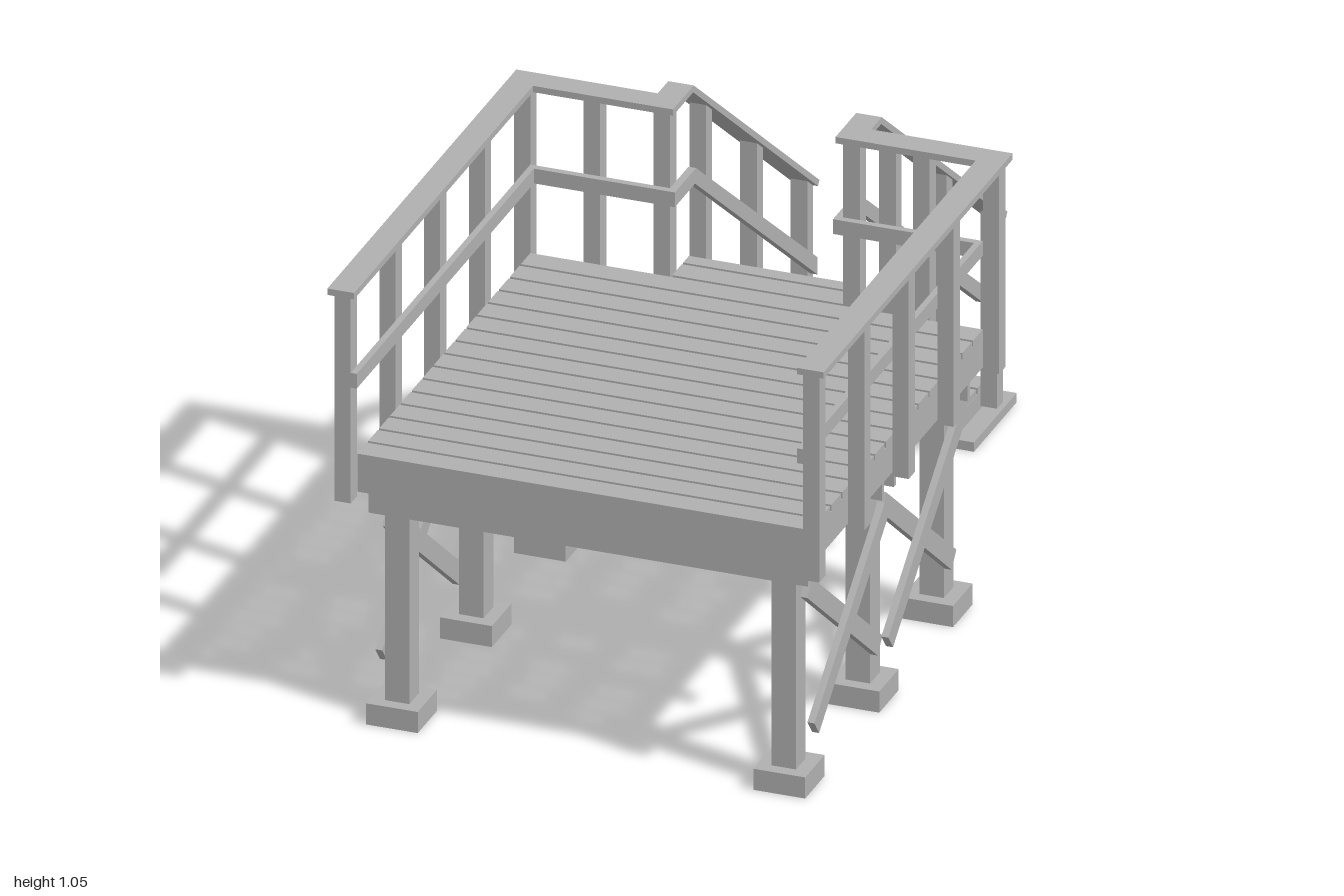
import * as THREE from 'three';

const timber = new THREE.MeshStandardMaterial({ color: 0xb0b0b0 });
timber.name = 'timberGrey';

export function createModel() {
  const model = new THREE.Group();
  model.name = 'raisedDeck';

  function add(name, geometry) {
    const mesh = new THREE.Mesh(geometry, timber);
    mesh.name = name;
    model.add(mesh);
    return mesh;
  }
  // Box given by its limits; x limits may come in either order
  function box(name, xa, xb, y0, y1, z0, z1) {
    const m = add(name, new THREE.BoxGeometry(Math.abs(xb - xa), y1 - y0, z1 - z0));
    m.position.set((xa + xb) / 2, (y0 + y1) / 2, (z0 + z1) / 2);
    return m;
  }
  // Side outline of [distance towards the back, height] points, spanning xa to xb
  function sideProfile(name, points, xa, xb) {
    const shape = new THREE.Shape(points.map(([u, y]) => new THREE.Vector2(u, y)));
    const m = add(name, new THREE.ExtrudeGeometry(shape, { depth: Math.abs(xb - xa), bevelEnabled: false }));
    m.rotation.y = Math.PI / 2;
    m.position.x = Math.min(xa, xb);
  }

  // Deck boards: sixteen wide ones, then the narrow landing
  const front = 0.952, pitch = 0.065, gap = 0.008, landingEnd = -0.188;
  for (let i = 0; i < 18; i++) {
    const z1 = front - i * pitch;
    const z0 = Math.max(z1 - pitch + gap, landingEnd);
    const w = i < 16 ? 0.515 : 0.195;
    box('deckBoard', -w, w, 0.63, 0.645, z0, z1);
  }

  // Rim and joists
  box('frontRim', -0.515, 0.515, 0.555, 0.63, 0.936, front);
  box('backRim', -0.515, 0.515, 0.555, 0.63, -0.08, -0.064);
  for (let i = -3; i <= 3; i++) {
    const x = i * 0.169;
    box('joist', x - 0.008, x + 0.008, 0.555, 0.63, -0.064, 0.936);
  }

  // Paired beams, legs and footings
  const legZ = [0.882, 0.44, 0];
  for (const z of legZ) {
    for (const s of [-1, 1]) {
      box('beam', -0.5, 0.5, 0.495, 0.555, z + s * 0.0355 - 0.0065, z + s * 0.0355 + 0.0065);
      box('leg', s * 0.412, s * 0.468, 0.05, 0.555, z - 0.029, z + 0.029);
      box('footing', s * 0.382, s * 0.5, 0, 0.05, z - 0.058, z + 0.058);
    }
  }

  // Crossed braces, in two layers outside the legs
  for (const s of [-1, 1]) {
    for (let i = 0; i < 2; i++) {
      for (const tilt of [-1, 1]) {
        const dy = 0.33, dz = 0.42;
        const brace = box('crossBrace', -0.008, 0.008, -0.0225, 0.0225, -Math.hypot(dy, dz) / 2, Math.hypot(dy, dz) / 2);
        brace.position.set(s * (tilt < 0 ? 0.476 : 0.492), 0.3, (legZ[i] + legZ[i + 1]) / 2);
        brace.rotation.x = tilt * Math.atan2(dy, dz);
      }
    }
  }

  // Guard rails around the deck
  for (const s of [-1, 1]) {
    for (const z of [0.973, 0.705, 0.44, 0.172, -0.099]) {
      box('sidePost', s * 0.515, s * 0.552, 0.545, 1.035, z - 0.0185, z + 0.0185);
    }
    for (const x of [0.375, 0.216]) {
      box('backPost', s * (x - 0.019), s * (x + 0.019), 0.545, 1.035, -0.118, -0.08);
    }
    box('sideCapRail', s * 0.504, s * 0.565, 1.035, 1.05, -0.127, 1.0);
    box('backCapRail', s * 0.243, s * 0.504, 1.035, 1.05, -0.127, -0.066);
    box('sideMidRail', s * 0.501, s * 0.515, 0.82, 0.855, -0.08, 0.992);
    box('backMidRail', s * 0.18, s * 0.501, 0.82, 0.855, -0.08, -0.064);
  }

  // Stair stringers: sawtooth top, straight sloping underside
  const rise = 0.081, run = 0.108, steps = 7;
  const riser = (i) => 0.175 + run * i;
  const seat = (i) => 0.63 - rise * i;
  const outline = [[0.79, 0.022], [0.09, 0.552], [0.09, 0.63], [riser(0), 0.63]];
  for (let i = 1; i <= steps; i++) outline.push([riser(i - 1), seat(i)], [riser(i), seat(i)]);
  outline.push([riser(steps), 0.022]);
  for (const x of [-0.188, 0, 0.188]) sideProfile('stringer', outline, x - 0.008, x + 0.008);
  for (const x of [-0.193, 0, 0.193]) box('stairPad', x - 0.048, x + 0.048, 0, 0.022, -1.0, -0.745);

  // Two boards for every tread
  for (let i = 1; i <= steps; i++) {
    for (const start of [riser(i - 1), riser(i - 1) + 0.063]) {
      box('treadBoard', -0.195, 0.195, seat(i), seat(i) + 0.015, -start - 0.055, -start);
    }
  }

  // Stair handrails, mid rails and posts
  const capUnder = (u) => 1.035 - 0.76 * (u - 0.187);
  for (const s of [-1, 1]) {
    sideProfile('stairCapRail', [[0.066, 1.035], [0.066, 1.05], [0.19, 1.05], [0.94, 0.48],
      [0.931, capUnder(0.931)], [0.187, 1.035]], s * 0.185, s * 0.243);
    sideProfile('stairMidRail', [[0.064, 0.82], [0.064, 0.855], [0.19, 0.855], [0.915, 0.309],
      [0.915, 0.268], [0.185, 0.82]], s * 0.18, s * 0.197);
    for (const [u, bottom] of [[0.295, 0.39], [0.598, 0.165], [0.899, 0.03]]) {
      const v = u + 0.035;
      sideProfile('stairPost', [[u, bottom], [u, capUnder(u)], [v, capUnder(v)], [v, bottom]], s * 0.197, s * 0.235);
    }
  }
  return model;
}
